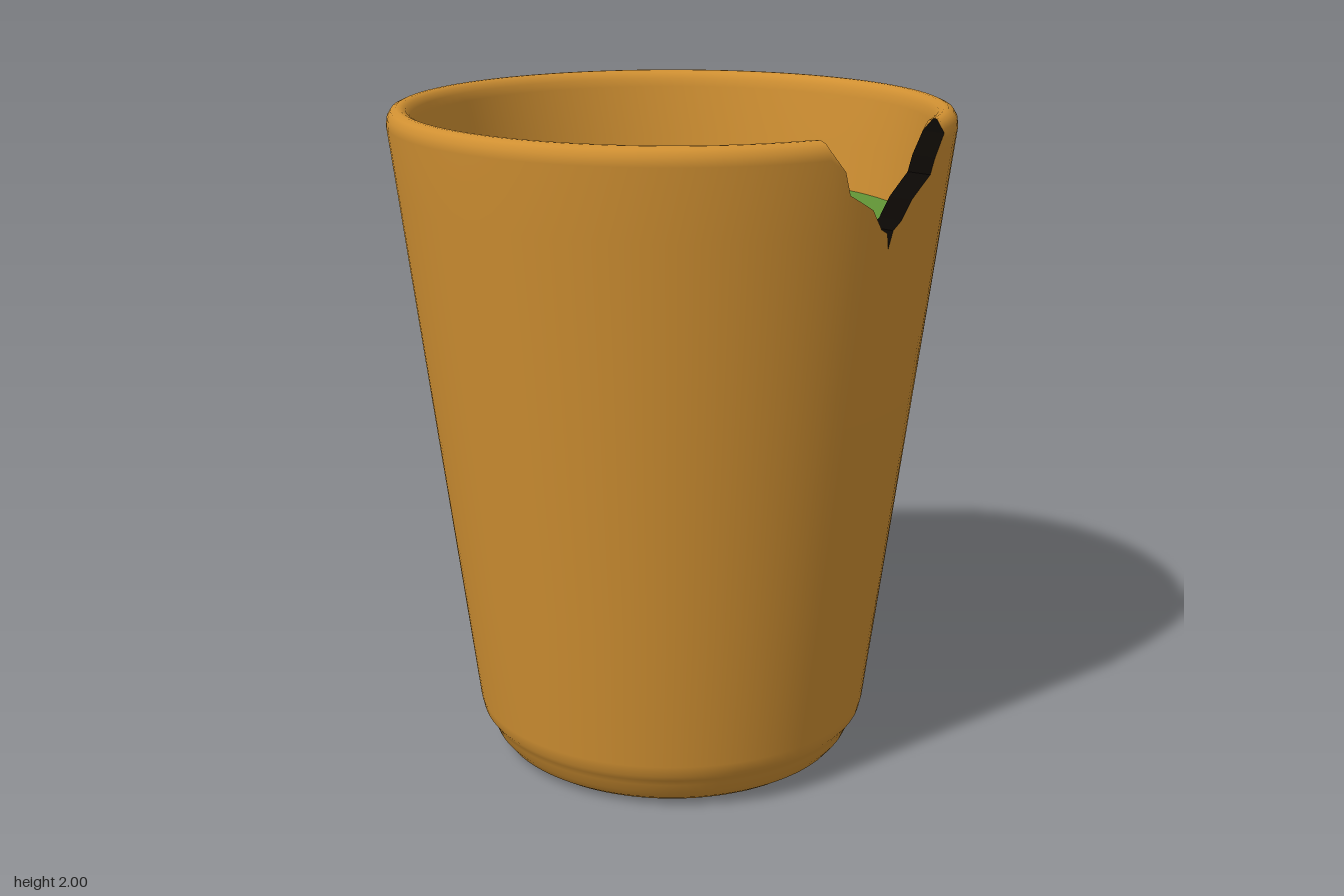
import * as THREE from 'three';

const clay = new THREE.MeshStandardMaterial({ name: 'ochre clay', color: 0xd09032 });
const dark = new THREE.MeshStandardMaterial({ name: 'dark break', color: 0x0a0704, side: THREE.DoubleSide });
const green = new THREE.MeshStandardMaterial({ name: 'green tea', color: 0x629636 });
const cream = new THREE.MeshStandardMaterial({ name: 'cream foam', color: 0xd2d1c3 });

// Wall section [radius, height]: up the outside, over the lip, down the inside
const profile = [
  [0.487, 0], [0.515, 0.01], [0.54, 0.027], [0.562, 0.055], [0.575, 0.085], [0.586, 0.105],
  [0.6, 0.125], [0.608, 0.16], [0.66, 0.58], [0.715, 1.02], [0.767, 1.44], [0.805, 1.75], [0.83, 1.95],
  [0.827, 1.975], [0.816, 1.993], [0.8, 2], [0.788, 2], [0.772, 1.993], [0.762, 1.975], [0.756, 1.95],
  [0.737, 1.8], [0.715, 1.62],
];
const lip = 15; // the chip's broken face joins rows lip and lip + 1

// Outline of the chip in the front rim [x, height]
const chip = [
  [-0.255, 2], [-0.25, 1.975], [-0.2, 1.915], [-0.175, 1.85], [-0.13, 1.825], [-0.085, 1.8], [-0.04, 1.74],
  [-0.012, 1.725], [0, 1.68], [0.012, 1.73], [0.045, 1.752], [0.085, 1.805], [0.14, 1.84], [0.178, 1.86],
  [0.195, 1.905], [0.25, 1.965], [0.26, 2],
];
const aroundSteps = 90;

// Section normals from neighbouring points
const sectionNormals = profile.map((p, i) => {
  const a = profile[Math.max(i - 1, 0)], b = profile[Math.min(i + 1, profile.length - 1)];
  return new THREE.Vector2(b[1] - a[1], a[0] - b[0]).normalize();
});

// Point of the section, lowered along its own side until it is under the cut
function cutPoint(row, top) {
  const step = row <= lip ? -1 : 1;
  let i = row;
  while (profile[i][1] > top) i += step;
  if (i === row) return { r: profile[i][0], y: profile[i][1], n: sectionNormals[i] };
  const [r0, y0] = profile[i], [r1, y1] = profile[i - step];
  return { r: r0 + (r1 - r0) * (top - y0) / (y1 - y0), y: top, n: sectionNormals[i] };
}

// Columns: first across the chip at fixed x, then around the rest of the cup
function wallGeometries() {
  const rows = profile.length, position = [], normal = [], wall = [], broken = [];
  const first = chip[0][0], last = chip[chip.length - 1][0];
  const columns = chip.length + aroundSteps;
  for (let c = 0; c < columns; c++) {
    for (let row = 0; row < rows; row++) {
      const { r, y, n } = cutPoint(row, c < chip.length ? chip[c][1] : 2);
      const start = Math.asin(last / r), end = Math.asin(first / r) + Math.PI * 2;
      const angle = c < chip.length ? Math.asin(chip[c][0] / r)
        : start + (end - start) * (c - chip.length + 1) / aroundSteps;
      const s = Math.sin(angle), k = Math.cos(angle);
      position.push(r * s, y, r * k);
      normal.push(n.x * s, n.y, n.x * k);
    }
  }
  for (let c = 0; c < columns - 1; c++) {
    for (let row = 0; row < rows - 1; row++) {
      const a = c * rows + row, b = a + rows;
      const target = row === lip && c < chip.length - 1 ? broken : wall;
      target.push(a, b, a + 1, b, b + 1, a + 1);
    }
  }
  const make = (index) => {
    const g = new THREE.BufferGeometry();
    g.setAttribute('position', new THREE.Float32BufferAttribute(position, 3));
    g.setAttribute('normal', new THREE.Float32BufferAttribute(normal, 3));
    g.setIndex(index);
    return g;
  };
  const face = make(broken).toNonIndexed();
  face.computeVertexNormals();
  return [make(wall), face];
}

function heartGeometry() {
  const shape = new THREE.Shape();
  shape.moveTo(0, 0.14);
  shape.bezierCurveTo(0.03, 0.22, 0.1, 0.265, 0.19, 0.265);
  shape.bezierCurveTo(0.3, 0.265, 0.385, 0.19, 0.385, 0.07);
  shape.bezierCurveTo(0.385, -0.13, 0.1, -0.2, 0, -0.4);
  shape.bezierCurveTo(-0.1, -0.2, -0.385, -0.13, -0.385, 0.07);
  shape.bezierCurveTo(-0.385, 0.19, -0.3, 0.265, -0.19, 0.265);
  shape.bezierCurveTo(-0.1, 0.265, -0.03, 0.22, 0, 0.14);
  return new THREE.ExtrudeGeometry(shape, { depth: 0.004, bevelEnabled: false, curveSegments: 20 })
    .rotateX(-Math.PI / 2);
}

export function createModel() {
  const model = new THREE.Group();
  model.name = 'chippedCup';
  const add = (name, geometry, material, y, z = 0.01) => {
    const mesh = new THREE.Mesh(geometry, material);
    mesh.name = name;
    mesh.position.set(0, y, z);
    model.add(mesh);
  };
  const [wall, broken] = wallGeometries();
  add('cupWall', wall, clay, 0);
  add('chipFace', broken, dark, 0);
  add('cupBase', new THREE.CircleGeometry(0.487, 96).rotateX(Math.PI / 2), dark, 0);
  // Drink and its foam heart
  add('drink', new THREE.CircleGeometry(0.721, 96).rotateX(-Math.PI / 2), green, 1.66);
  add('foamHeart', heartGeometry(), cream, 1.661, 0);
  return model;
}
